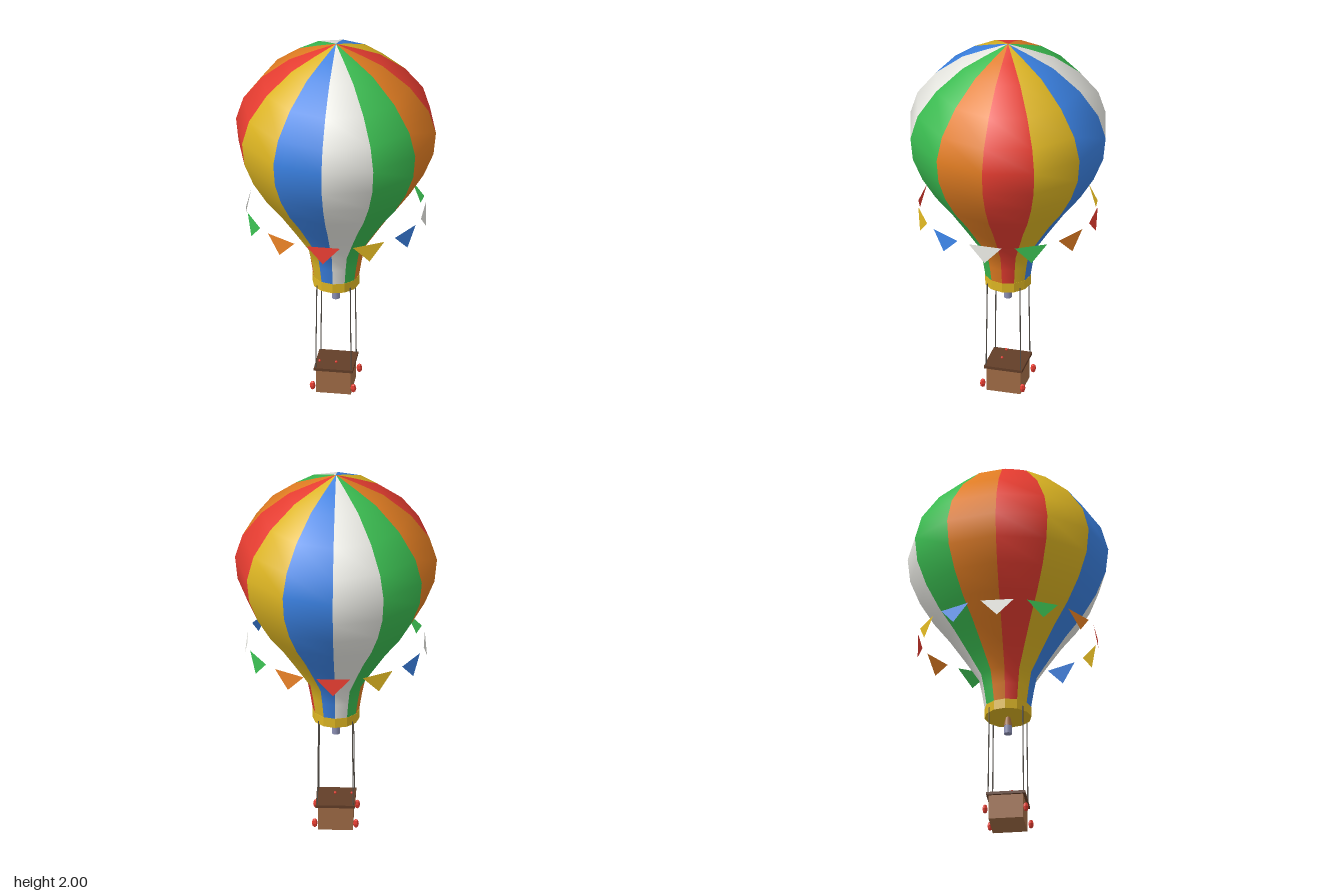
import * as THREE from 'three';

const mat = (name, color, opts = {}) => {
  const m = new THREE.MeshStandardMaterial({ color, ...opts });
  m.name = name;
  return m;
};

export function createModel() {
  const model = new THREE.Group();
  model.name = 'hotAirBalloon';

  const two = { side: THREE.DoubleSide };
  const red = mat('red', 0xe53c30, two);
  const orange = mat('orange', 0xe07c22, two);
  const yellow = mat('yellow', 0xdcb422, two);
  const green = mat('green', 0x3abb50, two);
  const blue = mat('blue', 0x3a80e0, two);
  const white = mat('white', 0xe6e6e0, two);
  const wicker = mat('wicker', 0xa06c46);
  const darkWood = mat('darkWood', 0x633e28);
  const steel = mat('steel', 0x8c90b4);
  const rope = mat('rope', 0x55504a);

  const add = (name, geometry, material, x = 0, y = 0, z = 0, parent = model) => {
    const mesh = new THREE.Mesh(geometry, material);
    mesh.name = name;
    mesh.position.set(x, y, z);
    parent.add(mesh);
    return mesh;
  };
  const group = (name) => {
    const g = new THREE.Group();
    g.name = name;
    model.add(g);
    return g;
  };

  // Envelope: twelve gores, each one flat-sided slice of a lathe
  const profile = [
    [0.118, 0.65], [0.132, 0.74], [0.148, 0.82], [0.22, 0.93], [0.298, 1.045],
    [0.38, 1.15], [0.452, 1.27], [0.502, 1.395], [0.515, 1.52], [0.477, 1.645],
    [0.38, 1.775], [0.24, 1.89], [0.115, 1.95], [0.001, 2],
  ].map(([r, y]) => new THREE.Vector2(r, y));
  const goreColors = [white, green, orange, red, yellow, blue];
  const envelope = group('envelope');
  const step = Math.PI / 6;
  for (let i = 0; i < 12; i++) {
    add('gore', new THREE.LatheGeometry(profile, 1, i * step, step), goreColors[i % 6], 0, 0, 0, envelope);
  }

  // Skirt closing the mouth of the envelope
  const skirtGeo = new THREE.CylinderGeometry(0.12, 0.12, 0.052, 12).toNonIndexed();
  skirtGeo.computeVertexNormals();
  add('skirt', skirtGeo, yellow, 0, 0.63, 0);

  // Burner with its nozzle
  add('burner', new THREE.CylinderGeometry(0.021, 0.021, 0.045, 10), steel, 0, 0.535, 0);
  add('nozzle', new THREE.CylinderGeometry(0.011, 0.022, 0.055, 10), wicker, 0, 0.583, 0);

  // Pennants ringed around the envelope, tips leaning slightly outwards
  const pennantGeo = new THREE.BufferGeometry();
  pennantGeo.setAttribute('position', new THREE.Float32BufferAttribute(
    [-0.086, 0.043, 0, 0, -0.047, 0.014, 0.086, 0.043, 0], 3));
  pennantGeo.computeVertexNormals();
  const pennantColors = [red, yellow, blue, white, green, orange];
  const pennants = group('pennants');
  for (let i = 0; i < 12; i++) {
    const a = i * step;
    const flag = add('pennant', pennantGeo, pennantColors[i % 6],
      Math.sin(a) * 0.45, 1.016, Math.cos(a) * 0.45, pennants);
    flag.rotation.y = a;
  }

  // Basket with a dark rim
  add('basket', new THREE.BoxGeometry(0.178, 0.135, 0.178), wicker, 0, 0.0675, 0);
  add('basketRim', new THREE.BoxGeometry(0.2, 0.015, 0.2), darkWood, 0, 0.138, 0);

  // Small red fittings on the rim
  for (const x of [-0.08, 0.005]) {
    add('rimFitting', new THREE.SphereGeometry(0.007, 8, 6), red, x, 0.152, 0.03);
  }

  // Ropes and sandbags at the four corners
  const bagGeo = new THREE.SphereGeometry(1, 6, 4).toNonIndexed();
  bagGeo.scale(0.015, 0.025, 0.015);
  bagGeo.computeVertexNormals();
  for (const sx of [-1, 1]) {
    for (const sz of [-1, 1]) {
      const path = new THREE.LineCurve3(
        new THREE.Vector3(sx * 0.091, 0.14, sz * 0.091),
        new THREE.Vector3(sx * 0.086, 0.625, sz * 0.086));
      add('suspensionRope', new THREE.TubeGeometry(path, 1, 0.003, 6), rope);
      add('sandbag', bagGeo, red, sx * 0.105, 0.048, sz * 0.105);
    }
  }
  return model;
}
